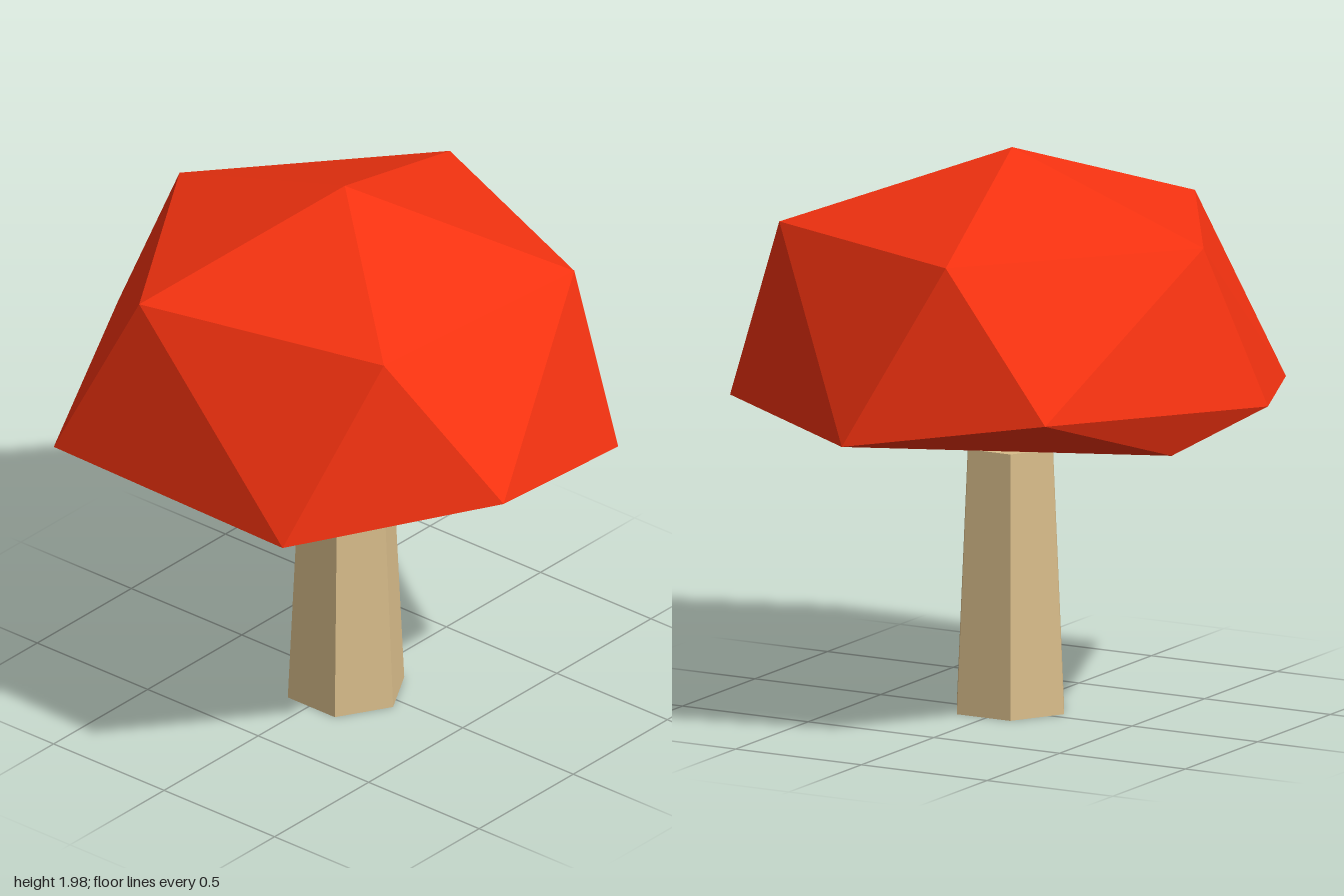
import * as THREE from 'three';
import { ConvexGeometry } from 'three/addons/geometries/ConvexGeometry.js';

function faceted(name, geometry, color) {
  const material = new THREE.MeshStandardMaterial({ color, flatShading: true });
  const mesh = new THREE.Mesh(geometry, material);
  mesh.name = name;
  return mesh;
}

export function createModel() {
  const tree = new THREE.Group();
  tree.name = 'tree';

  // Tapered six-sided trunk, with corners towards front and back
  const trunkHeight = 0.93;
  const trunk = faceted('trunk', new THREE.CylinderGeometry(0.168, 0.213, trunkHeight, 6), 0xd9bd8b);
  trunk.position.set(-0.045, trunkHeight / 2, 0.01);
  tree.add(trunk);

  // Irregular faceted crown: the hull of a peak, two rings and the underside
  const peak = [[-0.04, 1.98, 0]];
  const shoulder = [[0.01, -0.79], [0.73, -0.18], [0.37, 0.69], [-0.56, 0.62], [-0.78, -0.3]]
    .map(([x, z]) => [x, 1.72, z]);
  const rim = [
    [-0.07, 1.17, -1], [0.79, 1.22, -0.61], [0.91, 1.09, 0.13], [0.38, 1.09, 0.88],
    [-0.37, 1.23, 1], [-0.91, 1.09, 0.46], [-0.87, 1.08, -0.61],
  ];
  const underside = [[0.23, 1.03, -0.79], [-0.2, 0.94, 0.04]];
  const corners = [...peak, ...shoulder, ...rim, ...underside].map((p) => new THREE.Vector3(...p));
  tree.add(faceted('crown', new ConvexGeometry(corners), 0xf43210));

  return tree;
}
